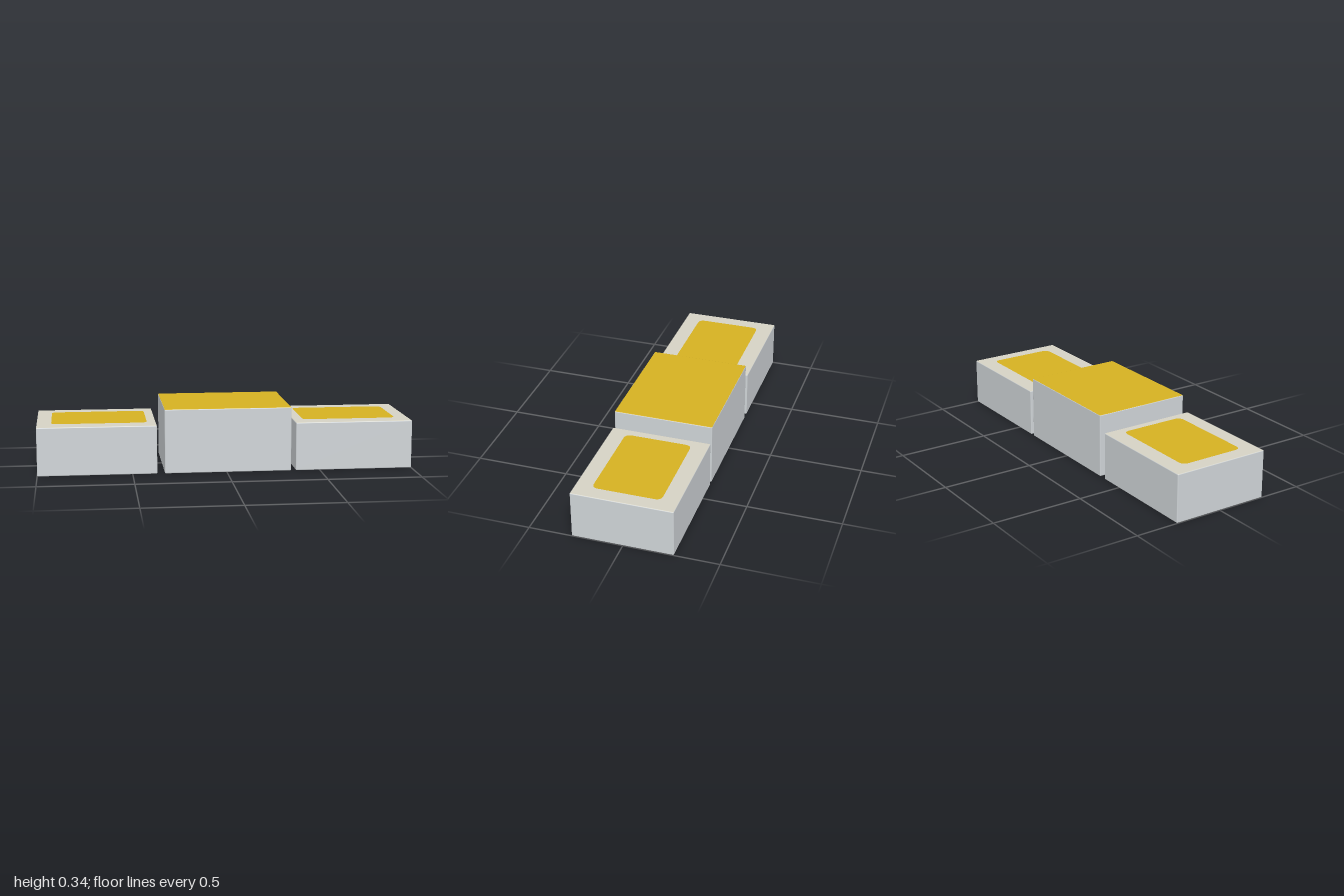
import * as THREE from 'three';
import { RoundedBoxGeometry } from 'three/addons/geometries/RoundedBoxGeometry.js';

const material = (name, color) => {
  const m = new THREE.MeshStandardMaterial({ color });
  m.name = name;
  return m;
};

// Rounded rectangle lying flat, facing up
function panelGeometry(w, d, r) {
  const s = new THREE.Shape();
  const x = w / 2, y = d / 2;
  s.moveTo(-x + r, -y);
  s.lineTo(x - r, -y);
  s.quadraticCurveTo(x, -y, x, -y + r);
  s.lineTo(x, y - r);
  s.quadraticCurveTo(x, y, x - r, y);
  s.lineTo(-x + r, y);
  s.quadraticCurveTo(-x, y, -x, y - r);
  s.lineTo(-x, -y + r);
  s.quadraticCurveTo(-x, -y, -x + r, -y);
  return new THREE.ShapeGeometry(s, 6).rotateX(-Math.PI / 2);
}

export function createModel() {
  const grey = material('light grey', 0xd0d5d8);
  const cream = material('warm cream', 0xd5d2c4);
  const gold = material('gold', 0xd5b122);
  const model = new THREE.Group();
  model.name = 'podium';

  // One block with its own colour on the top face
  function addBlock(name, x0, x1, height, topMaterial) {
    const geometry = new RoundedBoxGeometry(x1 - x0, height, 0.535, 2, 0.005);
    const block = new THREE.Mesh(geometry, [grey, grey, topMaterial, grey, grey, grey]);
    block.name = name;
    block.position.set((x0 + x1) / 2, height / 2, 0.003);
    model.add(block);
  }

  // Tall centre step
  addBlock('centreStep', -0.33, 0.345, 0.343, gold);

  // Low side steps with a gold standing panel on each
  addBlock('rightStep', -1, -0.37, 0.259, cream);
  addBlock('leftStep', 0.37, 1, 0.259, cream);
  for (const [name, x] of [['rightPanel', -0.67], ['leftPanel', 0.672]]) {
    const panel = new THREE.Mesh(panelGeometry(0.505, 0.36, 0.035), gold);
    panel.name = name;
    panel.position.set(x, 0.261, 0.003);
    model.add(panel);
  }
  return model;
}
